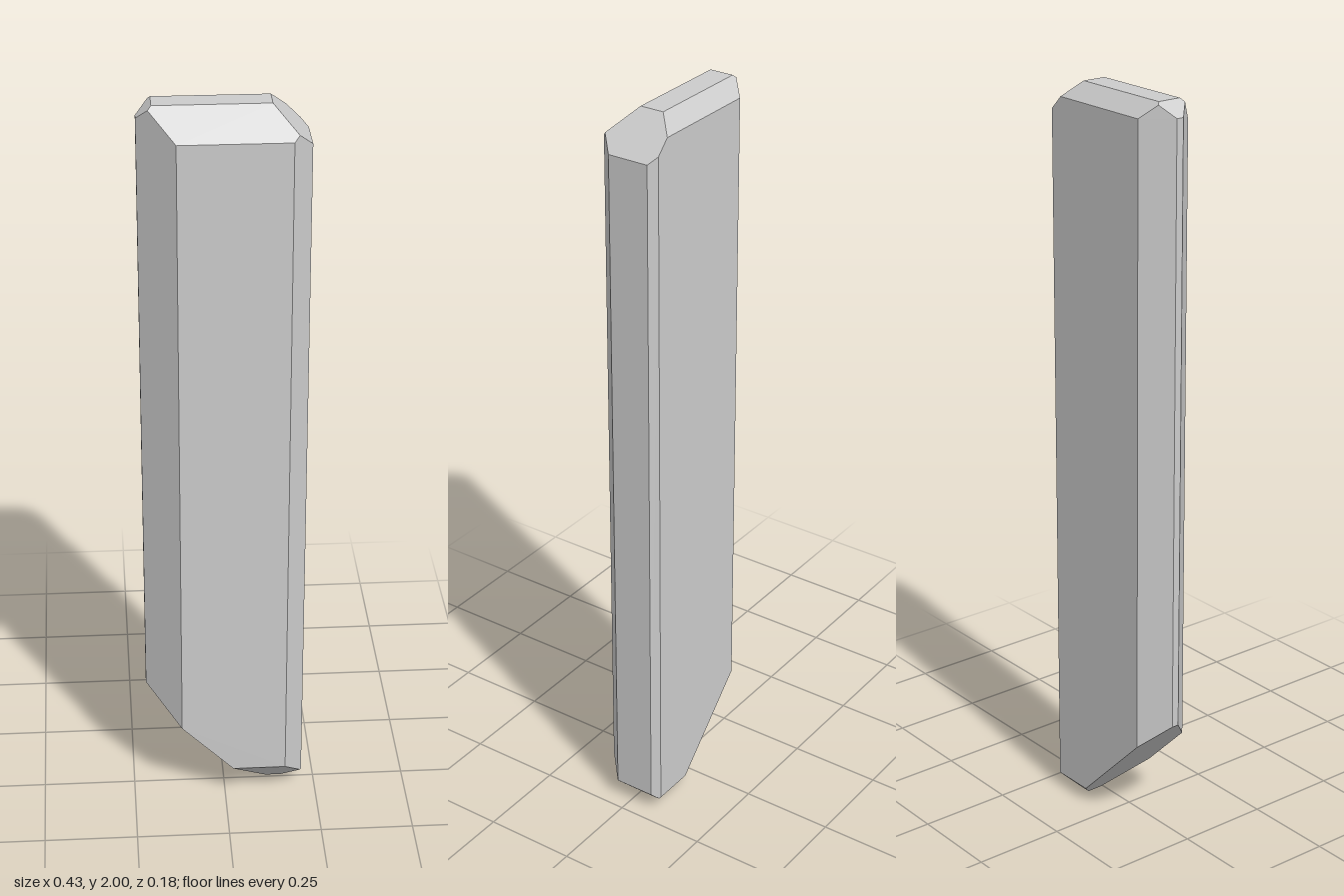
import * as THREE from 'three';
import { ConvexGeometry } from 'three/addons/geometries/ConvexGeometry.js';

// Facets of the crystal: outward direction (x, y, z) and limit, n . p <= limit
const FACETS = [
  // main sides, top and bottom
  [1, 0, 0, 0.213], [-1, 0, 0, 0.213],
  [0, 0, 1, 0.089], [0, 0, -1, 0.091],
  [0, 1, 0, 2], [0, -1, 0, 0],
  // upright bevels
  [1, 0, 1, 0.253], [1, 0, -1, 0.285],
  [-1, 0, 1, 0.208], [-1, 0, -1, 0.238],
  // bevels round the top
  [0, 1, 1, 2.015], [0, 1, -1, 2.05],
  [1, 1, 0, 2.117], [-1, 1, 0, 2.175],
  // bevels round the bottom, with the long slant on one side
  [-1, -1, 0, -0.118], [1, -1, 0, 0.16],
  [0, -1, 1, -0.008], [0, -1, -1, 0.05],
];

// Corners where three facets meet and no other facet cuts them off
function facetCorners(facets) {
  const planes = facets.map(([x, y, z, limit]) => ({ n: new THREE.Vector3(x, y, z), limit }));
  const corners = [];
  for (let i = 0; i < planes.length; i++) {
    for (let j = i + 1; j < planes.length; j++) {
      for (let k = j + 1; k < planes.length; k++) {
        const [a, b, c] = [planes[i], planes[j], planes[k]];
        const bc = b.n.clone().cross(c.n);
        const det = a.n.dot(bc);
        if (Math.abs(det) < 1e-6) continue;
        const p = bc.multiplyScalar(a.limit)
          .addScaledVector(c.n.clone().cross(a.n), b.limit)
          .addScaledVector(a.n.clone().cross(b.n), c.limit)
          .divideScalar(det);
        const inside = planes.every(({ n, limit }) => n.dot(p) <= limit + 1e-6);
        if (inside && !corners.some((q) => q.distanceTo(p) < 1e-4)) corners.push(p);
      }
    }
  }
  return corners;
}

export function createModel() {
  const group = new THREE.Group();
  group.name = 'crystal';
  const material = new THREE.MeshStandardMaterial({ color: 0xcccccc, flatShading: true });
  const shard = new THREE.Mesh(new ConvexGeometry(facetCorners(FACETS)), material);
  shard.name = 'crystalShard';
  group.add(shard);
  return group;
}
